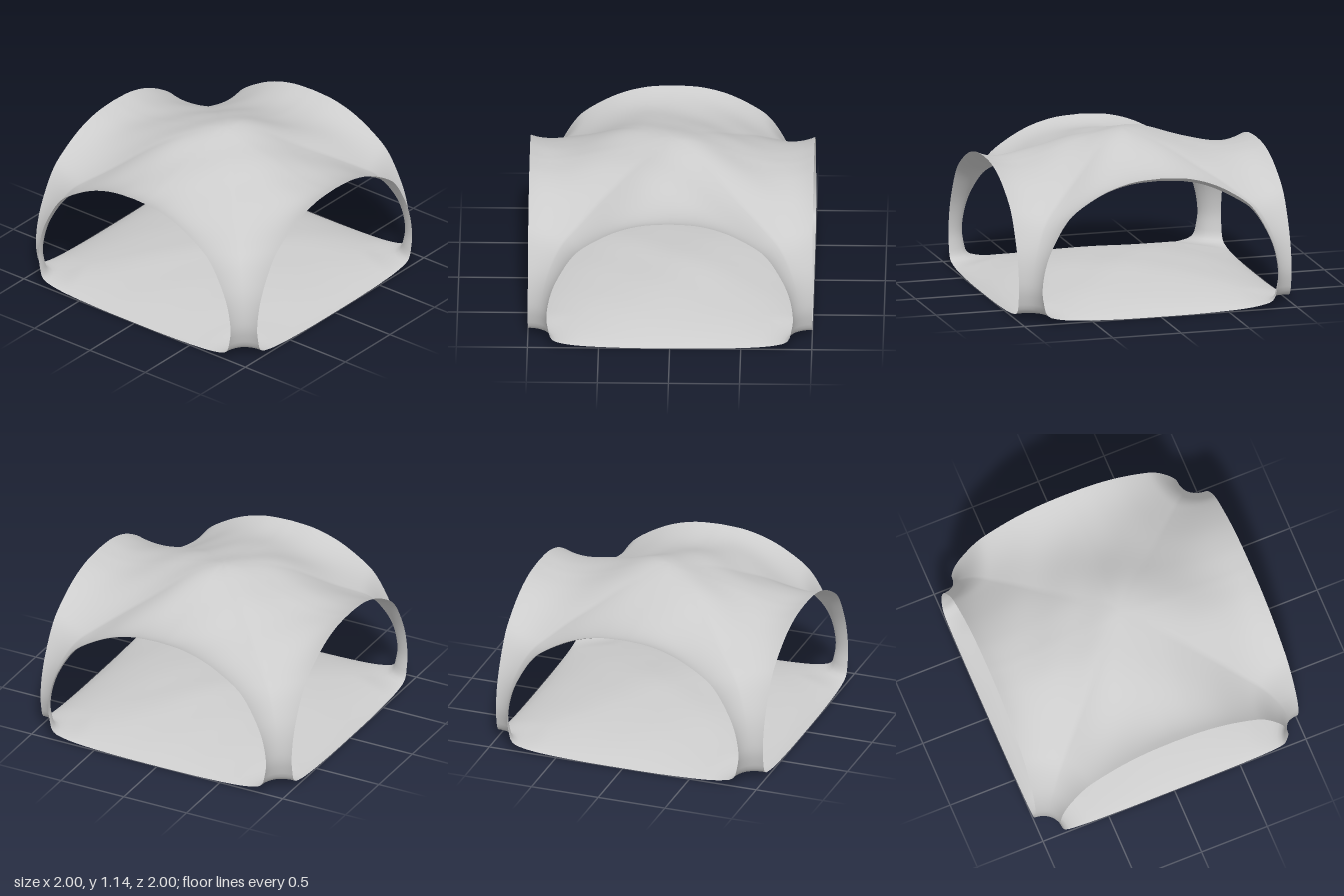
import * as THREE from 'three';
import { mergeVertices } from 'three/addons/utils/BufferGeometryUtils.js';

const ROWS = 72, COLS = 40;

// Half outline of one arched opening, from the middle of the sill up to the crown
const arch = new THREE.SplineCurve([
  [0, 0], [0.3, 0.002], [0.6, 0.014], [0.76, 0.035], [0.83, 0.065], [0.855, 0.14], [0.867, 0.25],
  [0.845, 0.4], [0.795, 0.54], [0.7, 0.71], [0.6, 0.81], [0.4, 0.925], [0.2, 0.985], [0, 1],
].map(([x, y]) => new THREE.Vector2(x, y))).getSpacedPoints(ROWS);

// Uneven rock relief
const relief = (x, z) =>
  0.012 * Math.sin(5 * x - 7 * z + 1) + 0.01 * Math.sin(8 * x + 5 * z) + 0.006 * Math.sin(13 * z - 9 * x + 2);

// Rise of floor and ceiling away from the openings; zero along every opening edge
function rise(x, z, r, t) {
  const q = Math.max(0, (1 - x * x) * (1 - z * z));
  const w = THREE.MathUtils.smoothstep(r, 0.13, 0.4);
  if (t < 0.4) return w * (0.185 * Math.pow(q, 0.75) + 0.3 * q * relief(x, z));
  return w * (0.4 * q * q - 0.275 * q + q * (relief(x, z) - 0.025 * x));
}

// Quarter of the shell: each row wraps round the corner from one opening to the next,
// as a tight arc at the pillar and a square bend at the middle of floor and ceiling
function quarter(turn, positions, index) {
  const base = positions.length / 3;
  for (let j = 0; j <= ROWS; j++) {
    const r = 1 - arch[j].x;
    const k = THREE.MathUtils.clamp((r - 0.13) / 0.87, 0, 1);
    for (let i = 0; i <= COLS; i++) {
      const f = i / COLS, a = f * Math.PI / 2;
      const c = THREE.MathUtils.lerp(Math.cos(a), Math.min(1, 2 - 2 * f), k);
      const s = THREE.MathUtils.lerp(Math.sin(a), Math.min(1, 2 * f), k);
      let x = 1 - r * c, z = 1 - r * s;
      for (let n = 0; n < turn; n++) [x, z] = [z, -x];
      positions.push(x, arch[j].y + rise(x, z, r, j / ROWS), z);
      if (i < COLS && j < ROWS) {
        const p = base + j * (COLS + 1) + i, up = p + COLS + 1;
        index.push(p, p + 1, up + 1, p, up + 1, up);
      }
    }
  }
}

export function createModel() {
  const group = new THREE.Group();
  group.name = 'caveCrossing';

  // Floor, four corner pillars and vaulted ceiling form one continuous skin
  const positions = [], index = [];
  for (let turn = 0; turn < 4; turn++) quarter(turn, positions, index);
  let geometry = new THREE.BufferGeometry();
  geometry.setAttribute('position', new THREE.Float32BufferAttribute(positions, 3));
  geometry.setIndex(index);
  geometry = mergeVertices(geometry, 1e-4);
  geometry.computeVertexNormals();

  const shell = new THREE.Mesh(geometry, new THREE.MeshStandardMaterial({ color: 0xcccccc, side: THREE.DoubleSide }));
  shell.name = 'caveShell';
  group.add(shell);
  return group;
}
